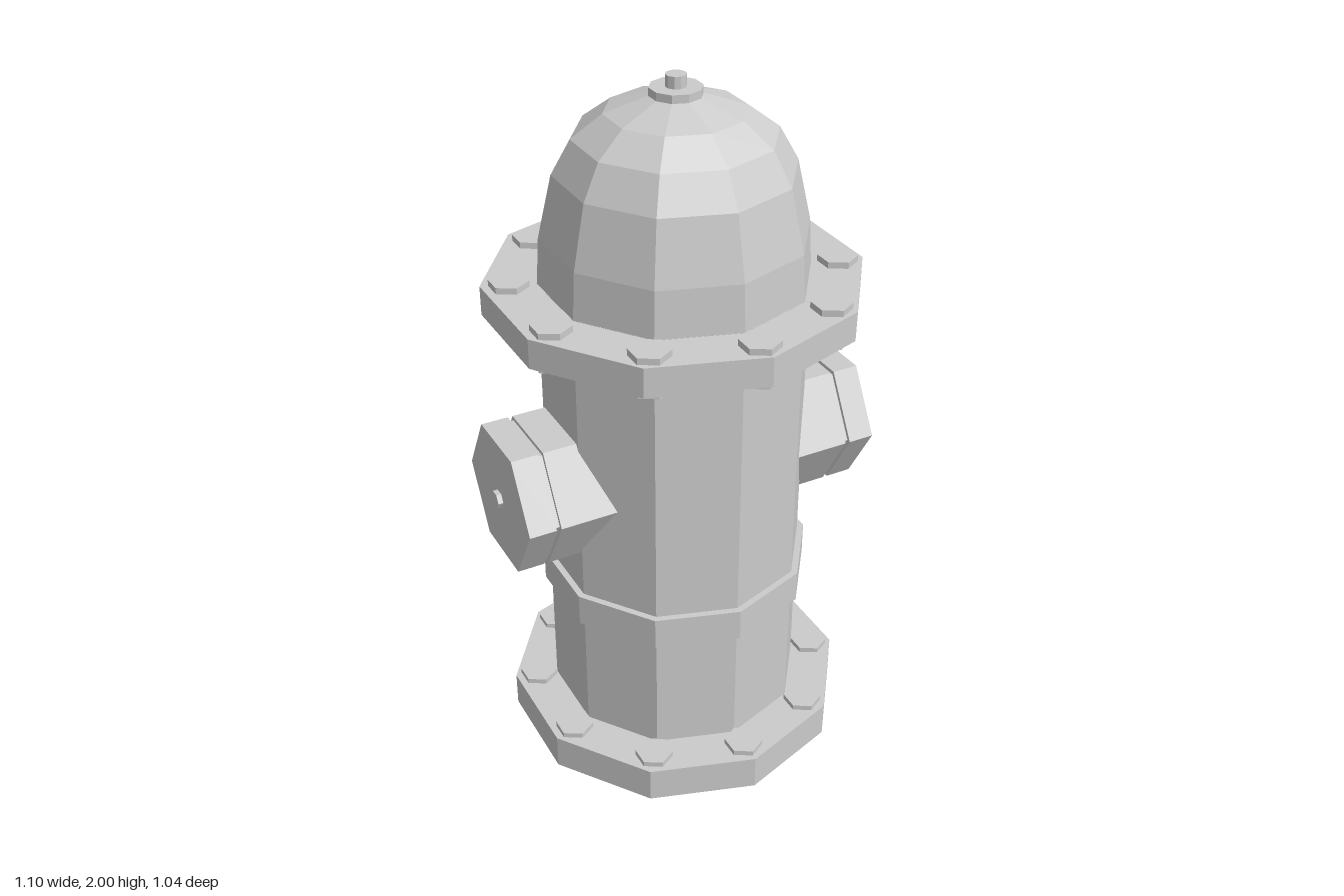
import * as THREE from 'three';

const material = new THREE.MeshStandardMaterial({ color: 0xcccccc, flatShading: true });
const CX = 0.003, CZ = 0.01; // axis of the barrel

export function createModel() {
  const model = new THREE.Group();
  model.name = 'hydrant';

  const add = (name, geometry, x, y, z, parent = model) => {
    const mesh = new THREE.Mesh(geometry, material);
    mesh.name = name;
    mesh.position.set(x, y, z);
    parent.add(mesh);
    return mesh;
  };

  // Upright prism between two heights
  const prism = (name, r, y0, y1, sides = 10, x = CX, z = CZ) =>
    add(name, new THREE.CylinderGeometry(r, r, y1 - y0, sides), x, (y0 + y1) / 2, z);

  // Barrel, base and bands
  prism('base', 0.498, 0, 0.106);
  prism('barrel', 0.371, 0.1, 1.45);
  prism('band', 0.39, 0.479, 0.574);
  prism('flange', 0.519, 1.365, 1.449, 10, 0.005, -0.001);

  // Faceted dome
  const profile = [
    [0.371, 1.44], [0.362, 1.58], [0.322, 1.753], [0.27, 1.845],
    [0.187, 1.907], [0.07, 1.946], [0, 1.95],
  ].map(([r, y]) => new THREE.Vector2(r, y));
  add('dome', new THREE.LatheGeometry(profile, 10), CX, 0, CZ);
  prism('topWasher', 0.07, 1.94, 1.968);
  prism('topNut', 0.028, 1.96, 2.0);

  // Rings of hexagonal bolts
  const boltRing = (name, radius, y0, y1) => {
    for (let i = 0; i < 10; i++) {
      const a = (i / 10) * Math.PI * 2;
      prism(name, 0.055, y0, y1, 6, CX + radius * Math.sin(a), CZ + radius * Math.cos(a));
    }
  };
  boltRing('baseBolt', 0.427, 0.09, 0.122);
  boltRing('flangeBolt', 0.444, 1.354, 1.467);

  // Hexagonal side outlets, mirrored left and right
  for (const side of [1, -1]) {
    const outlet = new THREE.Group();
    outlet.name = side > 0 ? 'leftOutlet' : 'rightOutlet';
    outlet.position.set(0, 0.893, CZ);
    model.add(outlet);
    const section = (name, r, x0, x1) => {
      const geometry = new THREE.CylinderGeometry(r, r, x1 - x0, 6).rotateZ(Math.PI / 2);
      add(name, geometry, (side * (x0 + x1)) / 2, 0, 0, outlet);
    };
    section('outletPipe', 0.208, 0.2, 0.446);
    section('outletNeck', 0.196, 0.4, 0.5);
    section('outletCap', 0.208, 0.46, 0.537);
    section('outletNut', 0.025, 0.5, 0.551);
  }

  return model;
}
